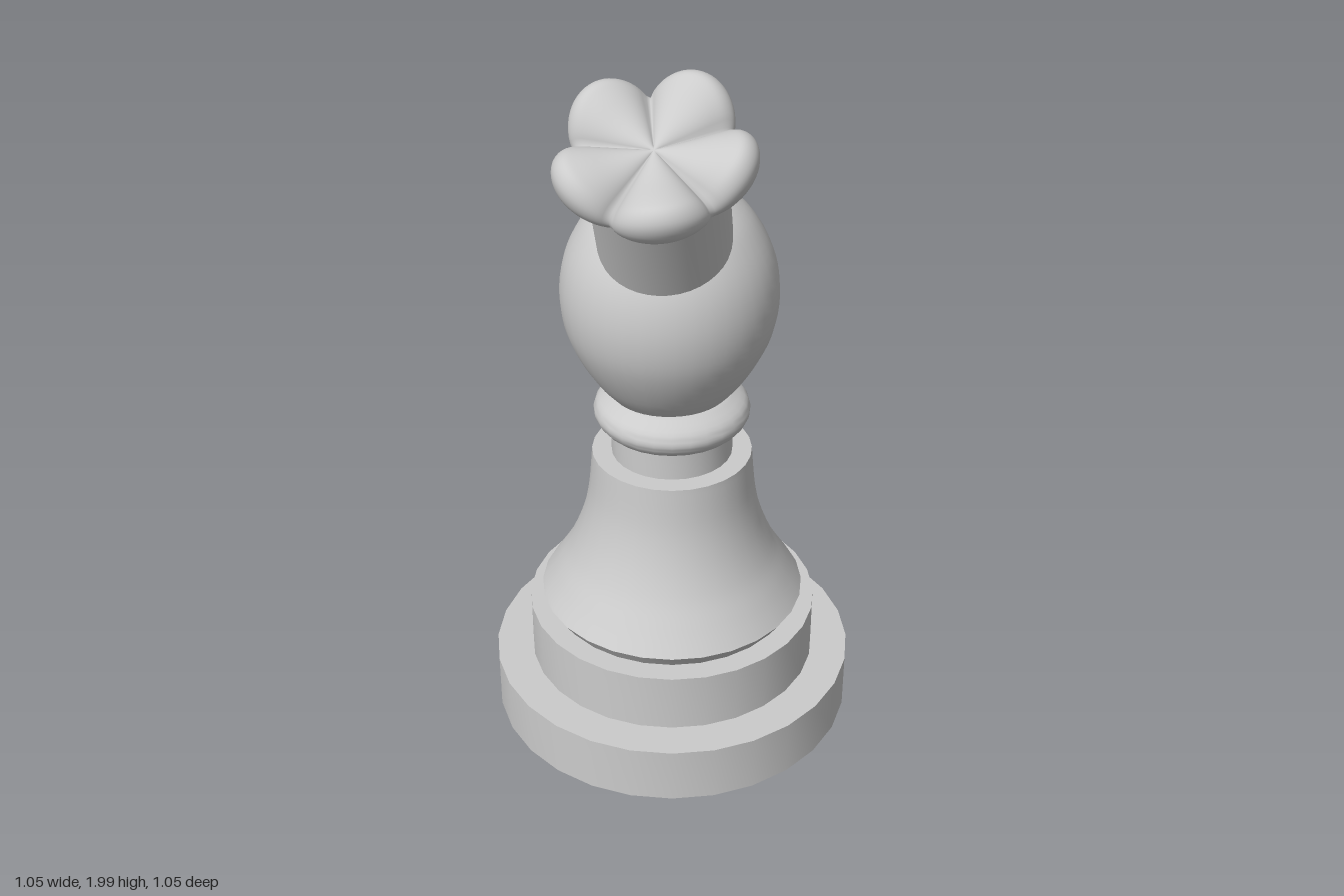
import * as THREE from 'three';
import { toCreasedNormals, mergeVertices } from 'three/addons/utils/BufferGeometryUtils.js';

const SIDES = 28;
const material = new THREE.MeshStandardMaterial({ color: 0xcccccc });
const vectors = (pairs) => pairs.map(([x, y]) => new THREE.Vector2(x, y));
const smooth = (pairs, n = 24) => new THREE.SplineCurve(vectors(pairs)).getPoints(n);

// Turned part from a profile listed bottom to top
function turned(name, points, sides = SIDES) {
  const geometry = toCreasedNormals(new THREE.LatheGeometry(points, sides), 0.6);
  const mesh = new THREE.Mesh(geometry, material);
  mesh.name = name;
  return mesh;
}

// Solid disc or drum
const drum = (name, radius, y0, y1, sides) =>
  turned(name, vectors([[0, y0], [radius, y0], [radius, y1], [0, y1]]), sides);

// Five puffed lobes: blend a crest profile into a valley profile around the axis
function puffedTop() {
  const steps = 36;
  const crest = smooth([[0.15, 0.25], [0.185, 0.262], [0.225, 0.285], [0.252, 0.33],
    [0.25, 0.375], [0.222, 0.402], [0.18, 0.398], [0.1, 0.375], [0, 0.355]], steps);
  const valley = smooth([[0.15, 0.25], [0.17, 0.255], [0.185, 0.268], [0.197, 0.285],
    [0.195, 0.3], [0.18, 0.312], [0.145, 0.322], [0.08, 0.338], [0, 0.355]], steps);
  const sides = 120;
  const geometry = new THREE.LatheGeometry(crest, sides);
  geometry.deleteAttribute('uv');
  geometry.deleteAttribute('normal');
  const position = geometry.attributes.position;
  const facing = THREE.MathUtils.degToRad(35);
  for (let i = 0; i < position.count; i++) {
    const row = i % (steps + 1);
    const angle = Math.floor(i / (steps + 1)) / sides * Math.PI * 2;
    const around = Math.PI / 2 - angle;
    const blend = Math.pow(Math.abs(Math.cos(2.5 * (around - facing))), 0.65);
    const p = valley[row].clone().lerp(crest[row], blend);
    position.setXYZ(i, p.x * Math.sin(angle), p.y, p.x * Math.cos(angle));
  }
  const merged = mergeVertices(geometry, 1e-5);
  merged.computeVertexNormals();
  const mesh = new THREE.Mesh(merged, material);
  mesh.name = 'hatPuff';
  return mesh;
}

export function createModel() {
  const model = new THREE.Group();
  model.name = 'chessPiece';

  // Stepped base
  model.add(drum('baseDisc', 0.523, 0, 0.167));
  model.add(drum('baseStep', 0.417, 0.16, 0.34));

  // Flared body with an undercut foot and a flat shoulder
  model.add(turned('body', [
    ...vectors([[0, 0.335], [0.35, 0.335]]),
    ...smooth([[0.38, 0.38], [0.338, 0.445], [0.295, 0.52], [0.26, 0.61], [0.237, 0.71], [0.225, 0.837]]),
    ...vectors([[0, 0.837]]),
  ]));

  // Neck and rounded collar
  model.add(drum('neck', 0.17, 0.83, 0.92));
  model.add(turned('collar', [
    new THREE.Vector2(0, 0.913),
    ...smooth([[0.165, 0.913], [0.195, 0.93], [0.214, 0.955], [0.217, 0.978], [0.203, 1.005], [0.16, 1.032]], 16),
    new THREE.Vector2(0, 1.032),
  ]));

  // Egg-shaped head, narrow at the bottom
  const head = turned('head', [
    new THREE.Vector2(0, 1.028),
    ...smooth([[0.165, 1.028], [0.208, 1.08], [0.255, 1.16], [0.285, 1.24], [0.295, 1.33],
      [0.283, 1.42], [0.25, 1.5], [0.197, 1.57], [0.11, 1.62], [0, 1.635]], 32),
  ], 40);
  head.position.x = -0.01;
  model.add(head);

  // Hat leaning towards the front left
  const hat = new THREE.Group();
  hat.name = 'hat';
  hat.add(drum('hatBand', 0.175, 0, 0.28, 40), puffedTop());
  hat.position.set(0.08, 1.535, 0.087);
  hat.quaternion.setFromUnitVectors(new THREE.Vector3(0, 1, 0), new THREE.Vector3(0.32, 0.88, 0.345).normalize());
  model.add(hat);

  return model;
}
